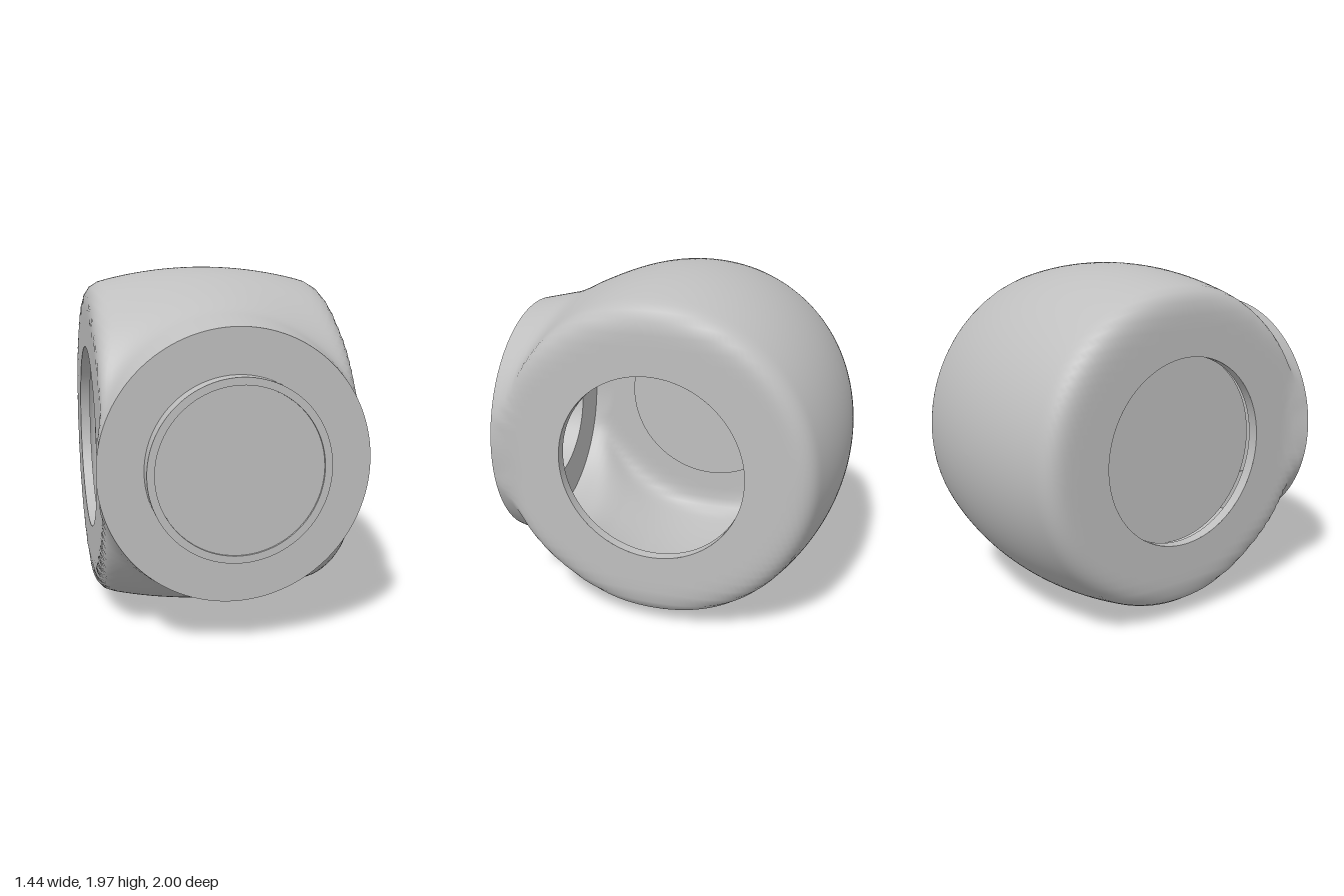
import * as THREE from 'three';
import { toCreasedNormals } from 'three/addons/utils/BufferGeometryUtils.js';

const HALF = 0.68, R0 = 0.985, BORE = 0.53, WALL = 0.06;
const FLANGE_Z = 0.925, FLANGE_R = 0.72, NECK_R = 0.48, NECK_IN = 0.44, NECK_END = 1.015;

const clamp01 = (v) => Math.min(1, Math.max(0, v));
const smoothMin = (a, b, k) => {
  const h = Math.max(k - Math.abs(a - b), 0) / k;
  return Math.min(a, b) - h * h * k / 4;
};

// Housing rule, negative inside: crowned barrel along x blended into a round front neck
function housing(x, y, z) {
  const fade = clamp01((FLANGE_Z - z) / 0.4);
  const k = 0.1 * fade + 0.001;
  const barrel = Math.hypot(y, z) - (R0 - 0.22 * x * x);
  const neck = Math.max(Math.hypot(x, y) - (FLANGE_R + 0.23 * (FLANGE_Z - z)), 0.3 - z);
  const flare = 0.045 * Math.pow(clamp01((z - 0.79) / 0.135), 1.5);
  const sides = Math.abs(x) - HALF - flare;
  return -smoothMin(-smoothMin(barrel, neck, k), -sides, k);
}

// Skin at a given depth below the housing surface, with round openings in both flat sides
function skin(depth, rimR, rimZ, inward) {
  const NU = 128, NV = 84, pos = [], idx = [], inHole = [];
  const start = Math.atan2(rimR, rimZ);
  for (let i = 0; i <= NV; i++) {
    const p = start + (Math.PI - start) * i / NV;
    for (let j = 0; j < NU; j++) {
      const u = j / NU * Math.PI * 2;
      const d = [Math.sin(p) * Math.cos(u), Math.sin(p) * Math.sin(u), Math.cos(p)];
      let lo = 0.3, hi = 1.5;
      for (let n = 0; n < 30; n++) {
        const m = (lo + hi) / 2;
        if (housing(d[0] * m, d[1] * m, d[2] * m) < -depth) lo = m; else hi = m;
      }
      const dist = i === 0 ? Math.hypot(rimR, rimZ) : lo;
      let [x, y, z] = d.map((c) => c * dist);
      const r = Math.hypot(y, z);
      const hole = Math.abs(x) > 0.5 && r < BORE;
      if (hole) { // pull onto the edge of the opening
        const s = r > 1e-6 ? BORE / r : 0;
        y *= s;
        z *= s;
      }
      inHole.push(hole);
      pos.push(x, y, z);
    }
  }
  const tri = (a, b, c) => {
    if (inHole[a] && inHole[b] && inHole[c]) return;
    if (inward) idx.push(a, c, b); else idx.push(a, b, c);
  };
  for (let i = 0; i < NV; i++) {
    for (let j = 0; j < NU; j++) {
      const a = i * NU + j, b = i * NU + (j + 1) % NU, c = a + NU, e = b + NU;
      tri(a, c, b);
      tri(b, c, e);
    }
  }
  const g = new THREE.BufferGeometry();
  g.setAttribute('position', new THREE.Float32BufferAttribute(pos, 3));
  g.setIndex(idx);
  g.computeVertexNormals();
  return g;
}

export function createModel() {
  const group = new THREE.Group();
  const body = new THREE.Group();
  body.position.set(0, R0, -0.015);
  group.add(body);

  const grey = new THREE.MeshStandardMaterial({ color: 0xbfbfbf, side: THREE.DoubleSide });
  grey.name = 'grey';
  const add = (name, geo) => {
    const m = new THREE.Mesh(geo, grey);
    m.name = name;
    body.add(m);
    return m;
  };

  // Hollow housing
  add('outerShell', skin(0, FLANGE_R, FLANGE_Z, false));
  add('innerShell', skin(WALL, FLANGE_R - 0.04, FLANGE_Z - WALL, true));

  // Front flange, neck and its bore, turned about z
  const profile = [
    [FLANGE_R, FLANGE_Z], [NECK_R, FLANGE_Z], [NECK_R, NECK_END],
    [NECK_IN, NECK_END], [NECK_IN, FLANGE_Z - WALL], [FLANGE_R - 0.04, FLANGE_Z - WALL],
  ].map(([r, z]) => new THREE.Vector2(r, z));
  const turned = new THREE.LatheGeometry(profile.reverse(), 128).rotateX(Math.PI / 2);
  add('flangeAndNeck', toCreasedNormals(turned, 0.6));

  // Plate closing the neck
  add('neckCap', new THREE.CylinderGeometry(NECK_IN, NECK_IN, 0.02, 64).rotateX(Math.PI / 2))
    .position.z = NECK_END - 0.02;

  // Lips of the two side openings
  for (const side of [1, -1]) {
    const lip = new THREE.CylinderGeometry(BORE, BORE, WALL, 96, 1, true).rotateZ(Math.PI / 2);
    add(side > 0 ? 'leftOpeningLip' : 'rightOpeningLip', lip).position.x = side * (HALF - WALL / 2);
  }

  // Recessed plate closing the right opening
  add('rightCover', new THREE.CylinderGeometry(BORE + 0.01, BORE + 0.01, 0.03, 96).rotateZ(Math.PI / 2))
    .position.x = -(HALF - WALL - 0.015) + 0.03;

  return group;
}
